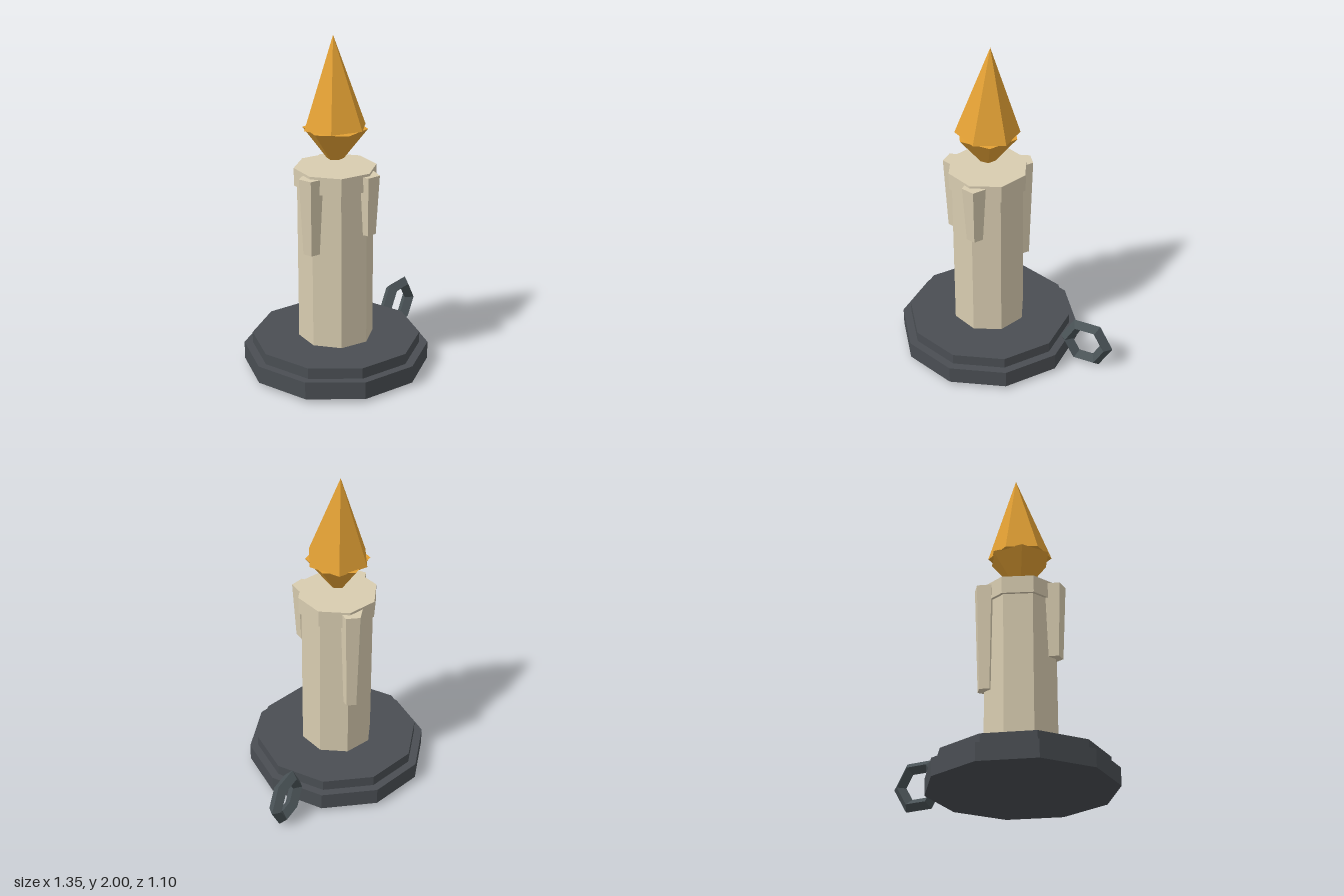
import * as THREE from 'three';

const flat = (name, color) => {
  const m = new THREE.MeshStandardMaterial({ color, flatShading: true });
  m.name = name;
  return m;
};

export function createModel() {
  const iron = flat('dark iron', 0x4a4e53);
  const handleIron = flat('handle iron', 0x4a5357);
  const wax = flat('cream wax', 0xd8ccb0);
  const fire = flat('amber flame', 0xe2a034);

  const model = new THREE.Group();
  model.name = 'candlestick';
  const candle = new THREE.Group();
  candle.name = 'candleAndDish';
  candle.position.x = -0.153;
  model.add(candle);

  // Upright faceted prism between two heights; turn (degrees) sets the first corner
  function prism(name, material, sides, rTop, rBottom, y0, y1, turn = 0, x = 0, z = 0) {
    const geometry = new THREE.CylinderGeometry(
      rTop, rBottom, y1 - y0, sides, 1, false, THREE.MathUtils.degToRad(turn));
    const mesh = new THREE.Mesh(geometry, material);
    mesh.name = name;
    mesh.position.set(x, (y0 + y1) / 2, z);
    candle.add(mesh);
    return mesh;
  }

  // Two-step dish
  prism('dishBase', iron, 10, 0.55, 0.55, 0.02, 0.125);
  prism('dishStep', iron, 10, 0.5, 0.5, 0.12, 0.19);

  // Candle body and rim
  prism('candleBody', wax, 8, 0.222, 0.222, 0.185, 1.2);
  prism('candleRim', wax, 8, 0.24, 0.24, 1.135, 1.24);

  // Wax drips: bottom height, turn, x, z
  const drips = [
    ['frontDrip', 0.87, 21.5, 0.017, 0.214],
    ['rightDrip', 0.77, -54, -0.219, -0.007],
    ['backDrip', 0.58, 18, 0.143, -0.165],
  ];
  for (const [name, bottom, turn, x, z] of drips) {
    prism(name, wax, 5, 0.072, 0.05, bottom, 1.225, turn, x, z);
  }

  // Flame: inverted lower bowl and a slightly tilted tip
  prism('flameBase', fire, 6, 0.188, 0.05, 1.29, 1.468, 30);
  const tip = new THREE.Mesh(new THREE.ConeGeometry(0.19, 0.53, 6).translate(0, 0.265, 0), fire);
  tip.name = 'flameTip';
  tip.position.y = 1.47;
  tip.rotation.set(-0.04, 0, -0.024);
  candle.add(tip);

  // Six-sided ring handle with a diamond section
  const handle = new THREE.Mesh(new THREE.TorusGeometry(0.128, 0.041, 4, 6), handleIron);
  handle.name = 'ringHandle';
  handle.position.set(0.505, 0.147, 0);
  model.add(handle);

  return model;
}
